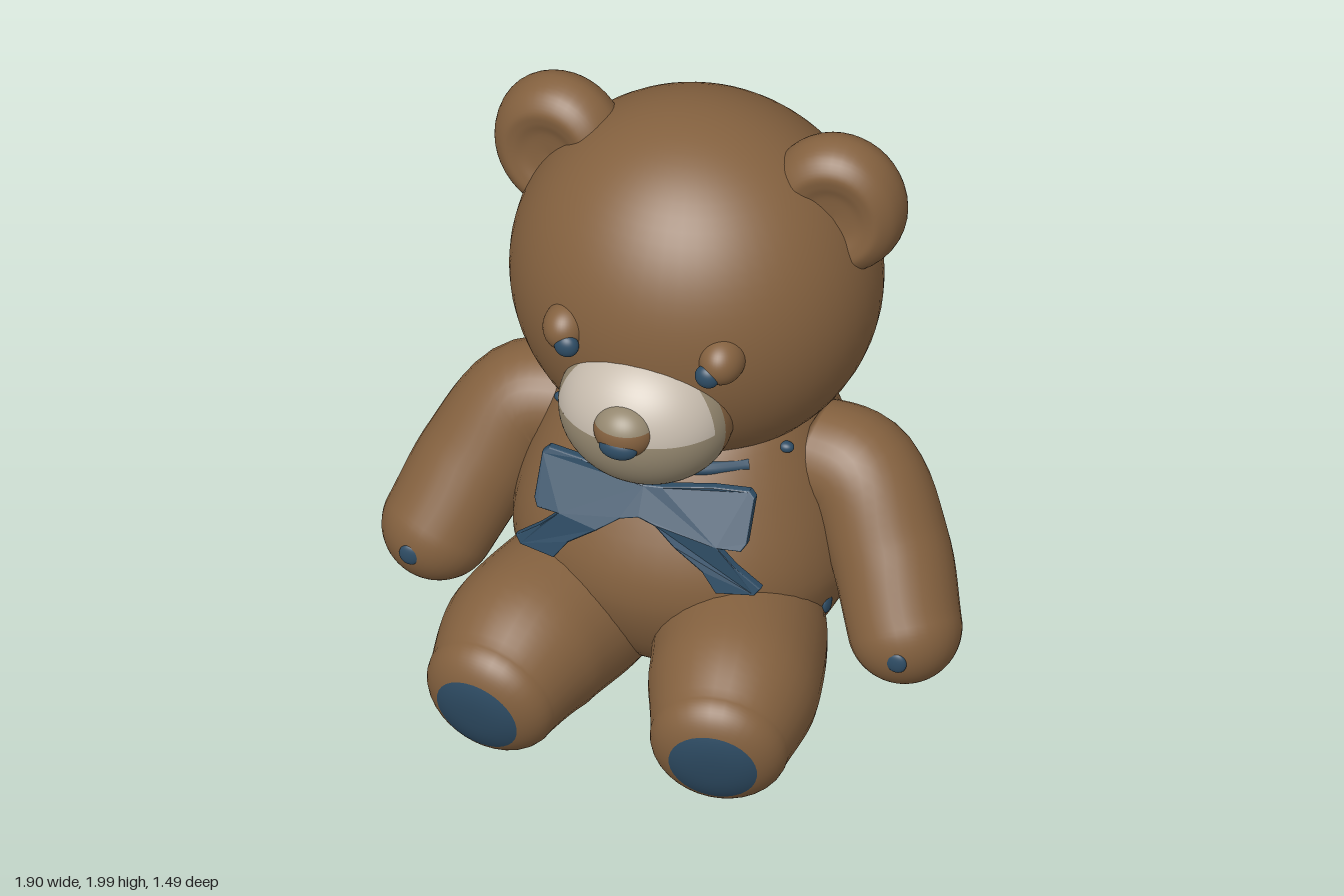
import * as THREE from 'three';

const mat = (name, color) => new THREE.MeshStandardMaterial({ name, color });
const V = (x, y, z) => new THREE.Vector3(x, y, z);

export function createModel() {
  const brown = mat('brown fur', 0x84613f);
  const cream = mat('cream muzzle', 0xc6bbad);
  const taupe = mat('taupe muzzle', 0x958870);
  const blue = mat('blue cloth', 0x2e4c64);
  const model = new THREE.Group();
  model.name = 'teddyBear';

  const add = (name, geo, material, pos = [0, 0, 0], scale = [1, 1, 1]) => {
    const m = new THREE.Mesh(geo, material);
    m.name = name;
    m.position.set(...pos);
    m.scale.set(...scale);
    model.add(m);
    return m;
  };
  const ball = (name, material, pos, scale) =>
    add(name, new THREE.SphereGeometry(1, 40, 28), material, pos, scale);

  // Part of a ball between two angles around y and two angles down from the top
  const patch = (name, material, pos, scale, phi0, phi1, theta0, theta1) =>
    add(name, new THREE.SphereGeometry(1, 40, 20, phi0, phi1 - phi0, theta0, theta1 - theta0),
      material, pos, scale);

  // Smooth skin over closed rings; rings from padFrom onward use material 1
  function loft(rings, padFrom = rings.length - 1) {
    const n = rings[0].length, pos = [], idx = [];
    rings.forEach(r => r.forEach(p => pos.push(p.x, p.y, p.z)));
    for (let i = 0; i < rings.length - 1; i++) {
      for (let j = 0; j < n; j++) {
        const a = i * n + j, b = i * n + (j + 1) % n;
        idx.push(a, b, a + n, b, b + n, a + n);
      }
    }
    const g = new THREE.BufferGeometry();
    g.setAttribute('position', new THREE.Float32BufferAttribute(pos, 3));
    g.setIndex(idx);
    g.computeVertexNormals();
    const split = padFrom * n * 6;
    g.addGroup(0, split, 0);
    g.addGroup(split, idx.length - split, 1);
    return g;
  }

  // Round limb through [x, y, z, radius] stations with a domed end
  function limb(stations, capDepth, capPower, padRatio = 0) {
    const N = 32, STEPS = 20, CAP = 18;
    const path = new THREE.CatmullRomCurve3(stations.map(s => V(s[0], s[1], s[2])));
    const radii = new THREE.CatmullRomCurve3(stations.map(s => V(s[3], 0, 0)));
    const rings = [];
    let padFrom;
    const ring = (c, t, r) => {
      const u = V(0, 1, 0.3).cross(t).normalize(), v = t.clone().cross(u);
      rings.push(Array.from({ length: N }, (_, j) => {
        const a = j / N * Math.PI * 2;
        return c.clone().addScaledVector(u, r * Math.cos(a)).addScaledVector(v, r * Math.sin(a));
      }));
    };
    ring(path.getPoint(0), path.getTangent(0), 0.001);
    for (let i = 0; i <= STEPS; i++) {
      const t = i / STEPS;
      ring(path.getPoint(t), path.getTangent(t), radii.getPoint(t).x);
    }
    const end = path.getPoint(1), dir = path.getTangent(1), r = radii.getPoint(1).x;
    for (let i = 1; i <= CAP; i++) {
      const a = i / CAP * Math.PI / 2;
      const k = Math.max(Math.pow(Math.max(Math.cos(a), 0), capPower), 0.004);
      if (k < padRatio && padFrom === undefined) padFrom = rings.length;
      ring(end.clone().addScaledVector(dir, capDepth * Math.sin(a)), dir, r * k);
    }
    return loft(rings, padFrom);
  }

  // Torso: [y, half width, back z, front z]
  const sections = [
    [0.06, 0.01, -0.34, -0.32], [0.07, 0.18, -0.47, -0.1], [0.13, 0.35, -0.56, 0.14],
    [0.26, 0.475, -0.63, 0.28], [0.45, 0.545, -0.675, 0.36], [0.6, 0.535, -0.675, 0.355],
    [0.8, 0.48, -0.645, 0.27], [0.95, 0.42, -0.59, 0.18], [1.06, 0.38, -0.54, 0.08],
  ];
  const shapeCurve = new THREE.CatmullRomCurve3(sections.map(s => V(s[0], s[1], s[2])));
  const frontCurve = new THREE.CatmullRomCurve3(sections.map(s => V(s[0], s[1], s[3])));
  const torso = [];
  for (let i = 0; i <= 32; i++) {
    const p = shapeCurve.getPoint(i / 32), f = frontCurve.getPoint(i / 32).z;
    torso.push(Array.from({ length: 48 }, (_, j) => {
      const a = j / 48 * Math.PI * 2, c = Math.cos(a);
      const k = c > 0 ? Math.pow(c, 0.85) : c;
      return V(p.y * Math.sin(a), p.x, (p.z + f) / 2 + (f - p.z) / 2 * k);
    }));
  }
  add('torso', loft(torso), brown);

  // Head
  add('head', new THREE.SphereGeometry(1, 56, 40), brown, [0, 1.4, -0.2], [0.587, 0.59, 0.545]);

  // Muzzle: cream upper front, taupe sides and underside, brown where it joins the head
  const mPos = [0, 1.174, 0.24], mSize = [0.28, 0.244, 0.245], PI = Math.PI;
  const cut = PI * 0.48, edge = 0.38, back = 0.17;
  patch('upperMuzzle', cream, mPos, mSize, edge, PI - edge, 0, cut);
  patch('rightMuzzleSide', taupe, mPos, mSize, back, edge, 0, cut);
  patch('leftMuzzleSide', taupe, mPos, mSize, PI - edge, PI - back, 0, cut);
  patch('lowerMuzzle', taupe, mPos, mSize, back, PI - back, cut, PI);
  patch('muzzleBase', brown, mPos, mSize, PI - back, PI * 2 + back, 0, PI);

  // Nose: taupe top, brown underside, blue tip
  const nPos = [0, 1.22, 0.44], nSize = [0.098, 0.088, 0.084], nCut = PI * 0.4;
  patch('noseTop', taupe, nPos, nSize, 0, PI * 2, 0, nCut);
  patch('noseBottom', brown, nPos, nSize, 0, PI * 2, nCut, PI);
  ball('noseTip', blue, [0, 1.188, 0.495], [0.063, 0.041, 0.034]);

  // Ear profile: rounded back, rim and shallow hollow front
  const earProfile = new THREE.SplineCurve([
    [0, -0.13], [0.1, -0.12], [0.175, -0.085], [0.216, -0.01], [0.2, 0.07],
    [0.155, 0.115], [0.115, 0.114], [0.07, 0.098], [0, 0.09],
  ].map(p => new THREE.Vector2(...p))).getPoints(40);

  for (const s of [1, -1]) {
    const side = s > 0 ? 'left' : 'right';
    const ear = add(side + 'Ear', new THREE.LatheGeometry(earProfile, 40).rotateX(PI / 2),
      brown, [s * 0.455, 1.752, -0.235], [1.02, 1.125, 1]);
    ear.rotation.y = s * 0.12;

    // Eyes set under low brows
    ball(side + 'Brow', brown, [s * 0.258, 1.435, 0.265], [0.072, 0.078, 0.085]);
    ball(side + 'Eye', blue, [s * 0.233, 1.408, 0.33], [0.04, 0.04, 0.03]);

    add(side + 'Arm', limb([
      [s * 0.38, 0.81, -0.19, 0.17], [s * 0.55, 0.77, -0.175, 0.188],
      [s * 0.68, 0.57, -0.09, 0.189], [s * 0.77, 0.37, 0.02, 0.179],
    ], 0.179, 1), brown);

    // Small blue spots on hand, shoulder, hip and flank
    ball(side + 'HandSpot', blue, [s * 0.805, 0.355, 0.189], [0.034, 0.036, 0.014]);
    ball(side + 'ShoulderSpot', blue, [s * 0.37, 0.945, 0], [0.026, 0.018, 0.02]);
    ball(side + 'HipSpot', blue, [s * 0.505, 0.38, 0], [0.014, 0.035, 0.03]);
    ball(side + 'FlankSpot', blue, [s * 0.535, 0.54, -0.2], [0.012, 0.025, 0.02]);

    // Leg ending in a blue sole pad
    add(side + 'Leg', limb([
      [s * 0.2, 0.3, -0.05, 0.25], [s * 0.285, 0.288, 0.18, 0.272],
      [s * 0.345, 0.278, 0.4, 0.268], [s * 0.375, 0.227, 0.6, 0.219],
    ], 0.13, 0.8, 0.69), [brown, blue]);
  }
  ball('underLegSpot', taupe, [-0.36, 0.014, 0.44], [0.03, 0.011, 0.03]);

  // Bow: one flat outline with two loops and two tails, wrapped around the chest
  const half = [[0, 0.885], [0.06, 0.89], [0.12, 0.9], [0.22, 0.912], [0.33, 0.912], [0.348, 0.895],
    [0.348, 0.77], [0.335, 0.75], [0.26, 0.75], [0.32, 0.69], [0.4, 0.625], [0.385, 0.605],
    [0.27, 0.6], [0.225, 0.665], [0.13, 0.735], [0.06, 0.785], [0, 0.8]];
  const outline = [...half, ...half.slice(1, -1).reverse().map(([x, y]) => [-x, y])]
    .map(p => new THREE.Vector2(...p)).reverse();
  const bow = new THREE.ExtrudeGeometry(new THREE.Shape(outline), {
    depth: 0.018, bevelEnabled: true, bevelSize: 0.004, bevelThickness: 0.004, bevelSegments: 2,
  });
  const bp = bow.attributes.position;
  for (let i = 0; i < bp.count; i++) {
    const x = bp.getX(i), y = bp.getY(i);
    const lean = y > 0.74 ? 0.33 - (y - 0.74) * 0.55 : 0.33 + (0.74 - y) * 0.16;
    bp.setZ(i, bp.getZ(i) + lean - x * x * 0.3);
  }
  bow.computeVertexNormals();
  add('bow', bow, blue);

  // Ribbon around the front of the neck
  const ribbon = new THREE.CatmullRomCurve3(
    [-0.28, -0.15, 0, 0.15, 0.28].map(x => V(x, 0.92, 0.195 - x * x * 1.3)));
  add('collar', new THREE.TubeGeometry(ribbon, 32, 0.024, 12), blue);

  return model;
}
